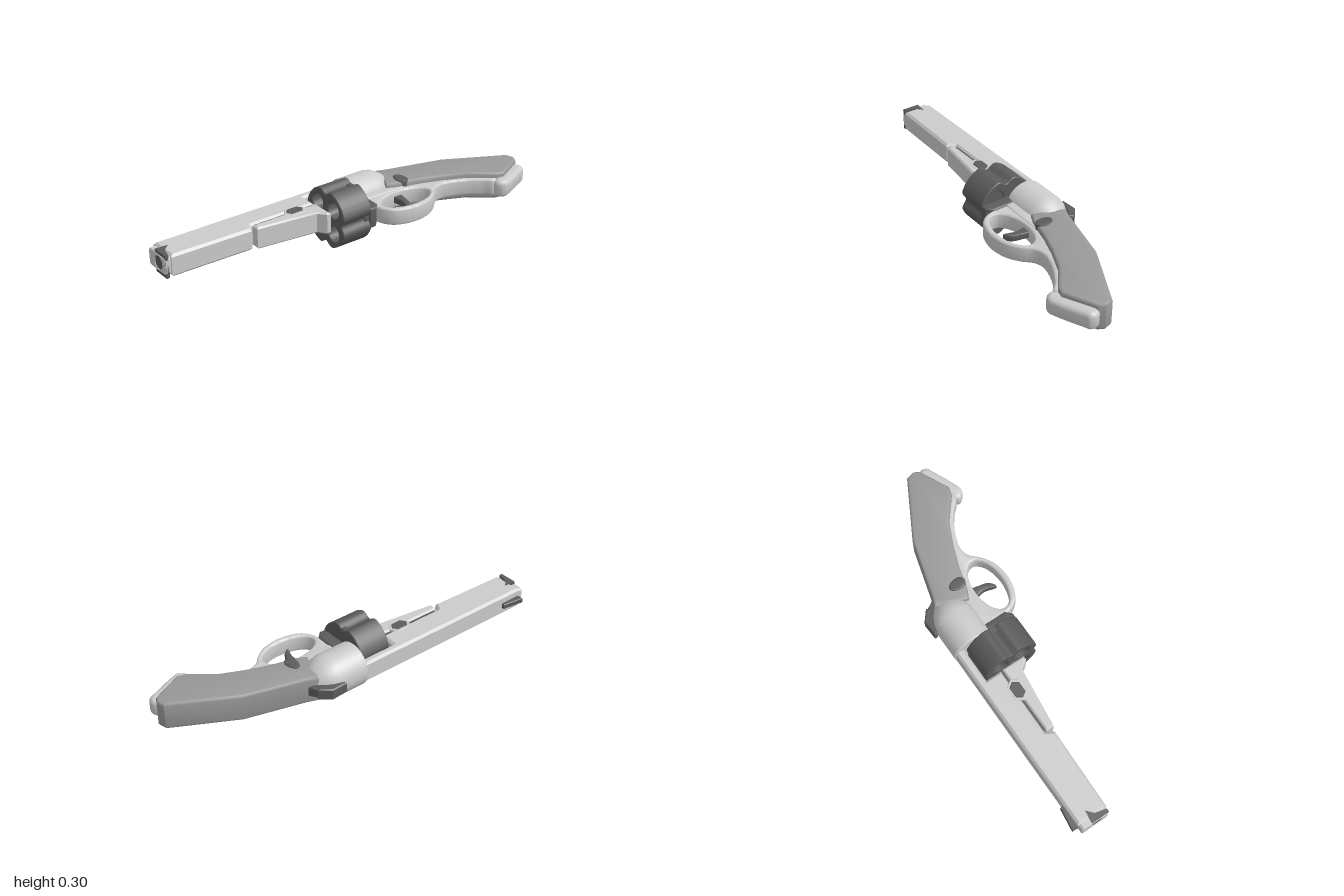
import * as THREE from 'three';
import { toCreasedNormals } from 'three/addons/utils/BufferGeometryUtils.js';

const MID = 0.152; // mid-plane height, the model lies on its side
const mats = {};
const mat = (color) => (mats[color] ??= new THREE.MeshStandardMaterial({ color, side: THREE.DoubleSide }));
const LIGHT = 0xcccccc, WOOD = 0x999999, DARK = 0x5c5c5c;

const vecs = (pts) => pts.map(([x, y]) => new THREE.Vector2(x, y));

function smoothOutline(pts, n) {
  const curve = new THREE.CatmullRomCurve3(pts.map(([x, y]) => new THREE.Vector3(x, y, 0)), true, 'centripetal');
  return curve.getPoints(n).slice(0, -1).map((p) => new THREE.Vector2(p.x, p.y));
}

function ellipsePath(cx, cy, rx, ry) {
  return new THREE.Path().absellipse(cx, cy, rx, ry, 0, Math.PI * 2, true);
}

export function createModel() {
  const group = new THREE.Group();

  const add = (name, geo, color) => {
    const mesh = new THREE.Mesh(toCreasedNormals(geo, 0.6), mat(color));
    mesh.name = name;
    group.add(mesh);
    return mesh;
  };

  // Side profile (x, height of the held weapon = -z), thickened along y
  const plate = (name, outline, thick, bevel, color, holes = [], segs = 3) => {
    const shape = new THREE.Shape(outline);
    shape.holes.push(...holes);
    const geo = new THREE.ExtrudeGeometry(shape, {
      depth: thick - 2 * bevel, bevelEnabled: bevel > 0, bevelThickness: bevel,
      bevelSize: bevel, bevelOffset: -bevel, bevelSegments: segs, curveSegments: 32,
    });
    geo.translate(0, 0, -(thick - 2 * bevel) / 2);
    geo.rotateX(-Math.PI / 2);
    geo.translate(0, MID, 0);
    return add(name, geo, color);
  };

  // Cross-section (-z, y) swept along x
  const sweepX = (name, shape, x0, x1, color, bevel = 0) => {
    const geo = new THREE.ExtrudeGeometry(shape, {
      depth: x1 - x0 - 2 * bevel, bevelEnabled: bevel > 0, bevelThickness: bevel,
      bevelSize: bevel, bevelOffset: -bevel, bevelSegments: 1, curveSegments: 20,
    });
    geo.rotateY(Math.PI / 2);
    geo.translate(x0 + bevel, MID, 0);
    return add(name, geo, color);
  };

  // Barrel with top strap over the cylinder
  plate('barrel', vecs([[-0.97, 0.25], [-0.97, 0.088], [-0.54, 0.078], [-0.515, 0.12], [-0.145, 0.12],
    [-0.145, 0.205], [0.06, 0.205], [0.06, 0.25]]), 0.115, 0.012, LIGHT, [], 1);

  // Muzzle ring with bore
  const muzzle = new THREE.Shape(vecs([[0.105, -0.045], [0.235, -0.045], [0.245, -0.035], [0.245, 0.035],
    [0.235, 0.045], [0.105, 0.045], [0.095, 0.035], [0.095, -0.035]]));
  muzzle.holes.push(ellipsePath(0.16, 0, 0.033, 0.033));
  sweepX('muzzle', muzzle, -1, -0.95, LIGHT, 0.004);
  sweepX('bore', new THREE.Shape().absarc(0.16, 0, 0.034, 0, Math.PI * 2), -0.975, -0.965, DARK);
  plate('muzzleNotch', vecs([[-0.997, 0.19], [-0.93, 0.185], [-0.965, 0.155], [-0.98, 0.095], [-0.997, 0.095]]),
    0.117, 0, DARK);
  plate('frontSight', vecs([[-0.97, 0.24], [-0.85, 0.24], [-0.85, 0.265], [-0.97, 0.281]]), 0.03, 0.004, DARK, [], 1);

  // Fore-end under the barrel, with its filler strip and side plate
  plate('foreEnd', vecs([[-0.515, 0.11], [-0.515, 0.068], [-0.195, 0.028], [-0.165, -0.015], [-0.143, -0.015],
    [-0.143, 0.11]]), 0.115, 0.008, LIGHT, [], 1);
  plate('foreEndCore', vecs([[-0.5, 0.14], [-0.5, 0.09], [-0.15, 0.09], [-0.15, 0.14]]), 0.095, 0, DARK);
  const hex = (rx, ry) => vecs([[-rx, 0], [-rx * 0.6, -ry], [rx * 0.6, -ry], [rx, 0], [rx * 0.6, ry], [-rx * 0.6, ry]]
    .map(([x, y]) => [x - 0.27, y + 0.108]));
  plate('latchRim', hex(0.062, 0.04), 0.118, 0.003, LIGHT, [], 1);
  plate('latch', hex(0.047, 0.028), 0.124, 0.003, DARK, [], 1);

  // Four-chamber cylinder with fluted outline
  const axis = 0.047, outline = [], steps = 96;
  for (let i = 0; i < steps; i++) {
    const a = (i / steps) * Math.PI * 2;
    const off = ((a + Math.PI / 4) % (Math.PI / 2)) - Math.PI / 4;
    const t = Math.min(1, Math.abs(off) / 0.33);
    const r = 0.157 - 0.03 * 0.5 * (1 + Math.cos(Math.PI * t));
    outline.push(new THREE.Vector2(axis + r * Math.cos(a), r * Math.sin(a)));
  }
  const drum = new THREE.Shape(outline);
  for (let i = 0; i < 4; i++) {
    const a = Math.PI / 4 + (i * Math.PI) / 2;
    drum.holes.push(ellipsePath(axis + 0.09 * Math.cos(a), 0.09 * Math.sin(a), 0.043, 0.043));
  }
  sweepX('cylinder', drum, -0.13, 0.042, DARK, 0.004);
  sweepX('cylinderFloor', new THREE.Shape().absarc(axis, 0, 0.135, 0, Math.PI * 2), 0.01, 0.038, DARK);
  sweepX('cylinderPin', new THREE.Shape().absarc(axis, 0, 0.03, 0, Math.PI * 2), -0.15, 0.07, DARK);
  plate('recoilPlate', vecs([[0.035, 0.06], [0.1, 0.05], [0.1, -0.07], [0.07, -0.1], [0.035, -0.1]]),
    0.11, 0.01, DARK);

  // Rounded rear frame
  const frame = new THREE.LatheGeometry(vecs([[0, 0.05], [0.106, 0.05], [0.112, 0.056], [0.112, 0.22],
    [0.106, 0.25], [0.09, 0.28], [0.065, 0.315], [0.04, 0.335], [0, 0.34]]), 40);
  frame.rotateZ(-Math.PI / 2);
  frame.translate(0, MID, -0.147);
  add('frame', frame, LIGHT);
  plate('frameBase', vecs([[0.05, 0.1], [0.05, 0.035], [0.1, 0.005], [0.34, 0], [0.34, 0.1]]), 0.1, 0.01, LIGHT);

  // Hammer: slim arm and wider spur
  plate('hammerArm', vecs([[0.23, 0.22], [0.27, 0.255], [0.33, 0.24], [0.36, 0.19], [0.3, 0.18]]), 0.055, 0.005, DARK, [], 1);
  plate('hammerSpur', vecs([[0.2, 0.262], [0.2, 0.278], [0.285, 0.283], [0.34, 0.238], [0.325, 0.21], [0.27, 0.24]]),
    0.062, 0.006, DARK, [], 1);

  // Grip and its side buttons
  plate('grip', vecs([[0.28, 0.13], [0.25, 0.04], [0.3, 0.015], [0.43, -0.02], [0.54, -0.06], [0.66, -0.115],
    [0.78, -0.21], [0.82, -0.222], [0.98, -0.145], [0.997, -0.115], [0.985, -0.07], [0.67, 0.1],
    [0.36, 0.185], [0.31, 0.205]]), 0.145, 0.014, WOOD);
  plate('gripButton', smoothOutline([[0.315, 0.045], [0.33, 0.085], [0.35, 0.092], [0.37, 0.07],
    [0.375, 0.02], [0.35, 0.0], [0.325, 0.01]], 24), 0.158, 0.006, DARK);

  // Trigger guard flowing into the strap below the grip
  plate('triggerGuard', smoothOutline([[0.095, 0.02], [0.095, -0.1], [0.135, -0.16], [0.2, -0.188],
    [0.265, -0.196], [0.35, -0.18], [0.415, -0.14], [0.46, -0.098], [0.51, -0.085], [0.575, -0.1],
    [0.65, -0.135], [0.715, -0.18], [0.76, -0.22], [0.8, -0.2], [0.66, -0.09], [0.54, -0.03],
    [0.43, 0.005], [0.3, 0.03]], 90), 0.09, 0.012, LIGHT, [ellipsePath(0.27, -0.088, 0.148, 0.076)]);
  plate('trigger', smoothOutline([[0.26, 0.0], [0.265, -0.06], [0.25, -0.125], [0.285, -0.1], [0.3, -0.05],
    [0.305, 0.0]], 30), 0.035, 0.005, DARK);

  // Butt cap
  plate('buttCap', smoothOutline([[0.75, -0.235], [0.765, -0.262], [0.79, -0.275], [0.83, -0.265], [0.96, -0.21],
    [0.99, -0.195], [0.999, -0.165], [0.985, -0.14], [0.95, -0.135], [0.82, -0.19], [0.77, -0.205]], 44),
    0.094, 0.025, LIGHT, [], 4);

  return group;
}
